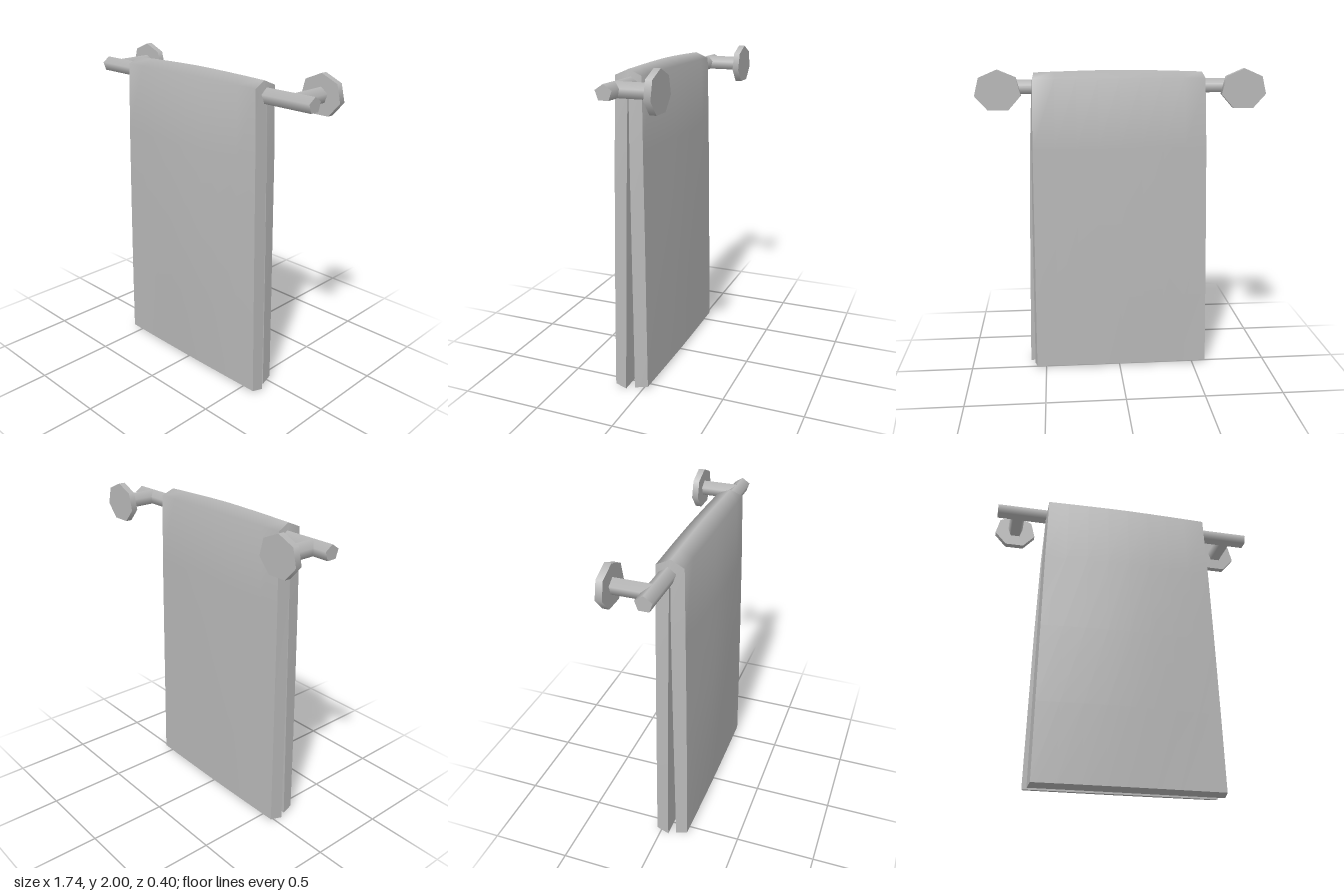
import * as THREE from 'three';

// Sheet of triangles through rows of points, facing (column direction) x (row direction)
function sheet(rows) {
  const n = rows[0].length, index = [];
  for (let i = 0; i < rows.length - 1; i++) {
    for (let j = 0; j < n - 1; j++) {
      const a = i * n + j, b = a + 1, c = a + n, d = c + 1;
      index.push(a, b, d, a, d, c);
    }
  }
  const g = new THREE.BufferGeometry();
  g.setAttribute('position', new THREE.Float32BufferAttribute(rows.flat(2), 3));
  g.setIndex(index);
  g.computeVertexNormals();
  return g;
}

// One row across the towel: y, z at the edges, bulge in z and y at the middle, half width, x shift
function row([y, z, bulgeZ, bulgeY, half, shift]) {
  return [-1, -0.75, -0.5, -0.25, 0, 0.25, 0.5, 0.75, 1].map((u) => {
    const b = 1 - Math.abs(u) ** 1.5;
    return [u * half + shift, y + b * bulgeY, z + b * bulgeZ];
  });
}

export function createModel() {
  const group = new THREE.Group();
  const grey = new THREE.MeshStandardMaterial({ color: 0xb8b8b8 });
  grey.name = 'grey';
  const add = (name, geometry, parent = group) => {
    const m = new THREE.Mesh(geometry, grey);
    m.name = name;
    parent.add(m);
    return m;
  };

  // Bar with one corner up, slightly flattened, lying along z
  const bar = (radius, length, sides) =>
    new THREE.CylinderGeometry(radius, radius, length, sides).rotateX(-Math.PI / 2);

  // Rail and its two wall mounts
  const railY = 1.877;
  add('rail', bar(0.0515, 1.74, 5).rotateY(Math.PI / 2).scale(1, 0.92, 1)).position.set(0, railY, 0.06);
  for (const side of [-1, 1]) {
    const mount = new THREE.Group();
    mount.name = side > 0 ? 'leftMount' : 'rightMount';
    mount.position.set(side * 0.735, railY, 0);
    add('post', bar(0.0515, 0.225, 5).scale(1, 0.92, 1), mount).position.z = -0.0575;
    add('wallPlate', bar(0.139, 0.04, 7).scale(1, 0.89, 1), mount).position.z = -0.185;
    group.add(mount);
  }

  // Towel faces, from the front hem over the rail to the back hem
  const outer = [
    [0.015, 0.174, 0.005, 0, 0.582, 0.014],
    [0.5, 0.172, 0.02, 0, 0.573, 0.011],
    [1.0, 0.168, 0.03, 0, 0.563, 0.008],
    [1.5, 0.162, 0.022, 0, 0.552, 0.004],
    [1.93, 0.155, 0.006, 0.005, 0.538, 0],
    [1.965, 0.075, 0, 0.013, 0.53, 0],
    [1.93, -0.006, -0.005, 0.005, 0.538, 0],
    [1.5, -0.012, -0.009, 0, 0.552, -0.004],
    [1.0, -0.018, -0.012, 0, 0.56, -0.008],
    [0.5, -0.023, -0.01, 0, 0.568, -0.011],
    [0.015, -0.028, -0.006, 0, 0.575, -0.014],
  ].map(row);
  const inner = [
    [0, 0.1, 0, 0, 0.593, 0.014],
    [0.5, 0.093, 0, 0, 0.584, 0.011],
    [1.0, 0.086, 0, 0, 0.574, 0.008],
    [1.5, 0.08, 0, 0, 0.562, 0.004],
    [1.84, 0.077, 0, 0, 0.548, 0],
    [1.86, 0.074, 0, 0, 0.545, 0],
    [1.84, 0.071, 0, 0, 0.548, 0],
    [1.5, 0.068, 0, 0, 0.562, -0.004],
    [1.0, 0.063, 0, 0, 0.574, -0.008],
    [0.5, 0.058, 0, 0, 0.582, -0.011],
    [0, 0.054, 0, 0, 0.59, -0.014],
  ].map(row);

  const towel = new THREE.Group();
  towel.name = 'towel';
  group.add(towel);
  const last = outer.length - 1;
  add('towelOutside', sheet(outer), towel);
  add('towelInside', sheet([...inner].reverse()), towel);
  // Side rims and hems close the thickness of the cloth
  add('towelLeftRim', sheet(outer.map((r, i) => [r.at(-1), inner[i].at(-1)])), towel);
  add('towelRightRim', sheet(outer.map((r, i) => [inner[i][0], r[0]])), towel);
  add('frontHem', sheet([inner[0], outer[0]]), towel);
  add('backHem', sheet([outer[last], inner[last]]), towel);

  return group;
}
